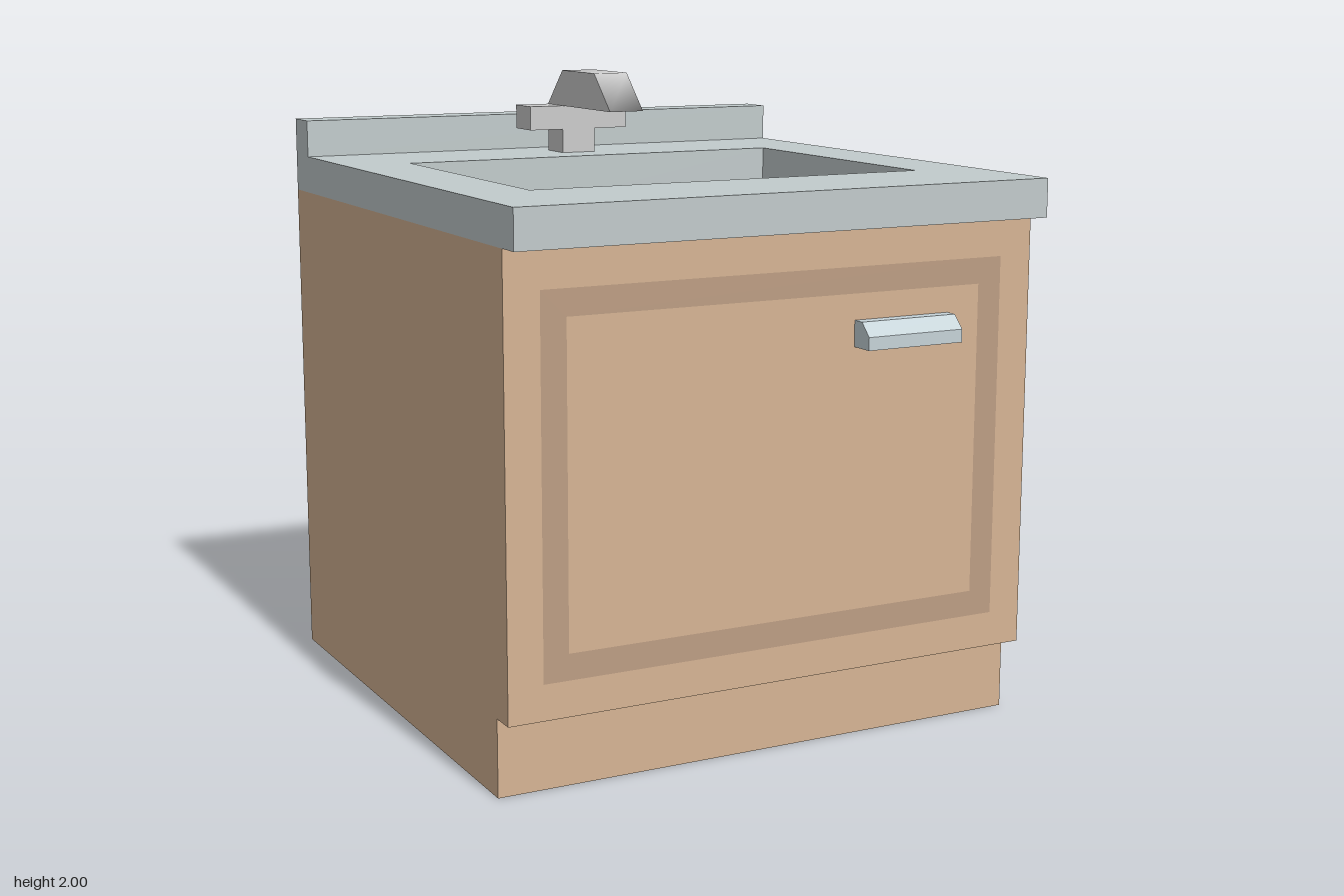
import * as THREE from 'three';
import { mergeGeometries } from 'three/addons/utils/BufferGeometryUtils.js';

const paint = (color, side = THREE.FrontSide) => new THREE.MeshStandardMaterial({ color, side });

function part(group, name, geometry, material) {
  const mesh = new THREE.Mesh(geometry, material);
  mesh.name = name;
  group.add(mesh);
  return mesh;
}

// Sweeps a closed [z, y] outline from x0 to x1 with end caps; edges listed in `open` are left out.
function prism(outline, x0, x1, { open = [], smooth = false } = {}) {
  const n = outline.length;
  const index = [];
  const positions = outline.flatMap(([z, y]) => [x0, y, z, x1, y, z]);
  for (let i = 0; i < n; i++) {
    if (open.includes(i)) continue;
    const a = 2 * i, d = 2 * ((i + 1) % n);
    index.push(a, a + 1, d + 1, a, d + 1, d);
  }
  let band = new THREE.BufferGeometry();
  band.setAttribute('position', new THREE.Float32BufferAttribute(positions, 3));
  band.setIndex(index);
  if (smooth) band.computeVertexNormals();
  band = band.toNonIndexed();
  if (!smooth) band.computeVertexNormals();

  const caps = [[-1, x0], [1, x1]].map(([s, x]) => {
    const shape = new THREE.Shape(outline.map(([z, y]) => new THREE.Vector2(-s * z, y)));
    const cap = new THREE.ShapeGeometry(shape).toNonIndexed();
    cap.deleteAttribute('uv');
    return cap.rotateY(s * Math.PI / 2).translate(x, 0, 0);
  });
  return mergeGeometries([band, ...caps]);
}

const rect = (Kind, x0, y0, x1, y1) => new Kind([[x0, y0], [x1, y0], [x1, y1], [x0, y1]]
  .map(([x, y]) => new THREE.Vector2(x, y)));

// Flat rectangle with a rectangular opening, facing +z.
function frame(outer, inner) {
  const shape = rect(THREE.Shape, ...outer);
  shape.holes.push(rect(THREE.Path, ...inner));
  return new THREE.ShapeGeometry(shape);
}

function box(x0, y0, z0, x1, y1, z1) {
  return new THREE.BoxGeometry(x1 - x0, y1 - y0, z1 - z0)
    .translate((x0 + x1) / 2, (y0 + y1) / 2, (z0 + z1) / 2);
}

export function createModel() {
  const model = new THREE.Group();
  model.name = 'sinkCabinet';
  const wood = paint(0xd6b494);
  const stone = paint(0xc2cbcc);
  const metal = paint(0xd8dbd8);
  const W = 0.88;

  // Cabinet with toe kick, open at the top beneath the counter
  part(model, 'cabinet', prism([[-0.92, 1.6], [-0.92, 0], [0.76, 0], [0.76, 0.24],
    [0.84, 0.24], [0.84, 1.6]], -W, W, { open: [5] }), wood);

  // Darker band on the door
  part(model, 'doorTrim', frame([-0.77, 0.35, 0.77, 1.48], [-0.69, 0.43, 0.69, 1.4])
    .translate(0, 0, 0.842), paint(0xbd9e84));

  // Bevelled door handle
  part(model, 'doorHandle', prism([[0.84, 1.24], [0.92, 1.24], [0.92, 1.28],
    [0.88, 1.32], [0.84, 1.32]], 0.25, 0.58, { open: [4] }), paint(0xc6d3d8));

  // Counter edges and backsplash, then the top surface around the basin
  part(model, 'counterEdge', prism([[0.84, 1.6], [0.92, 1.6], [0.92, 1.72], [-0.8, 1.72],
    [-0.8, 1.84], [-0.92, 1.84], [-0.92, 1.6]], -W, W, { open: [2, 6] }), stone);
  part(model, 'counterTop', frame([-W, -0.92, W, 0.8], [-0.66, -0.53, 0.66, 0.42])
    .rotateX(-Math.PI / 2).translate(0, 1.72, 0), stone);

  // Basin: upright sides that slope in towards the floor
  part(model, 'basin', prism([[-0.66, 1.72], [-0.66, 1.48], [-0.6, 1.3], [0.6, 1.3],
    [0.66, 1.48], [0.66, 1.72]], -0.53, 0.42, { open: [5] }).rotateY(Math.PI / 2),
  paint(0xc2cbcc, THREE.DoubleSide));

  // Faucet: stem, two taps and an angled spout with softened shading
  const faucet = new THREE.Group();
  faucet.name = 'faucet';
  faucet.position.x = 0.01;
  part(faucet, 'stem', box(-0.06, 1.72, -0.68, 0.06, 1.88, -0.56), metal);
  for (const [name, x] of [['rightTap', -0.12], ['leftTap', 0.12]]) {
    part(faucet, name, box(-0.06, 1.8, -0.68, 0.06, 1.88, -0.56).translate(x, 0, 0), metal);
  }
  part(faucet, 'spout', prism([[-0.56, 1.88], [-0.19, 1.88], [-0.31, 2], [-0.56, 2],
    [-0.68, 1.88]], -0.06, 0.06, { open: [4], smooth: true }), metal);
  model.add(faucet);

  return model;
}
